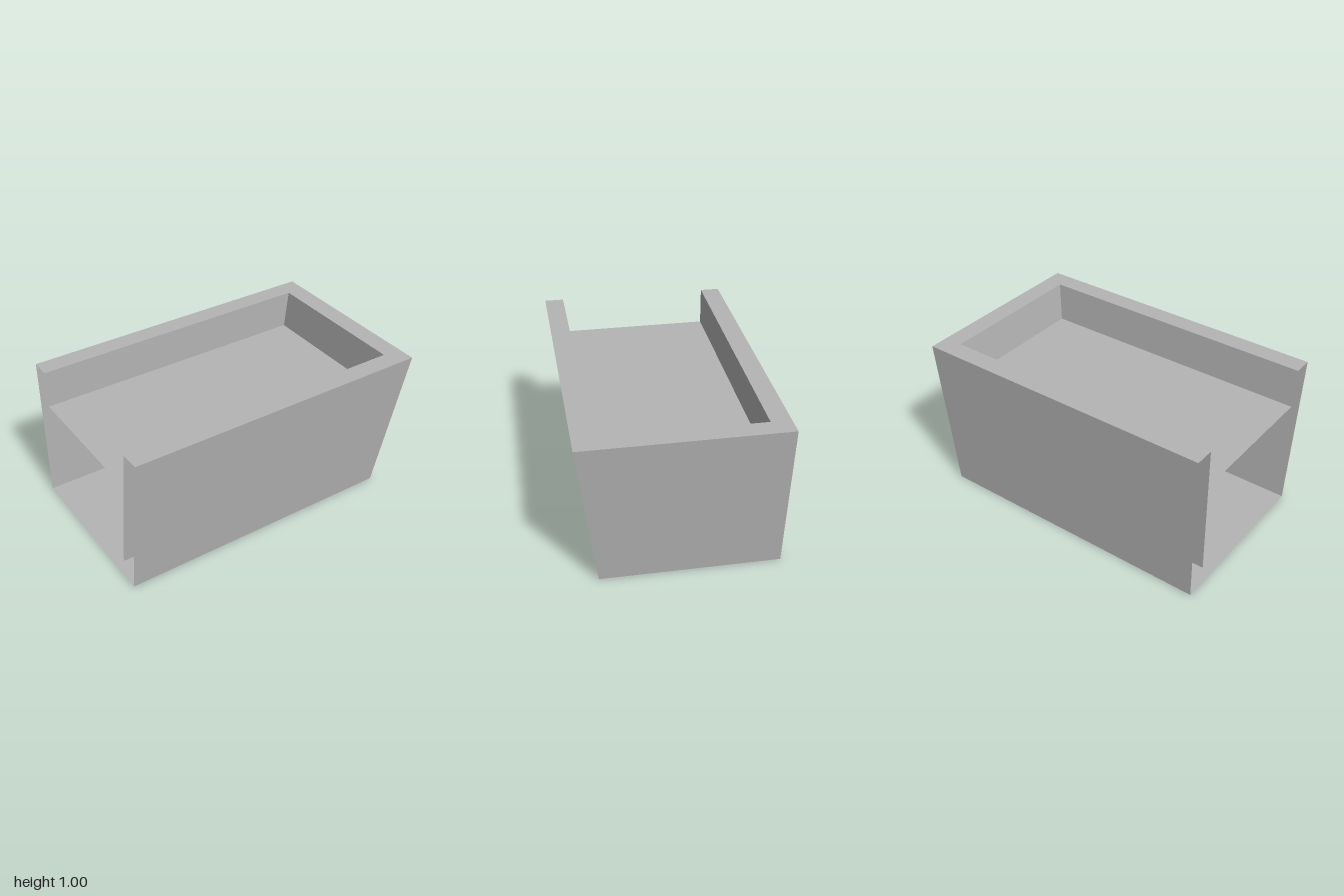
import * as THREE from 'three';

// U-shaped path at height y, open on the -x end
const path = (y, back, end, front) => [[-1, y, back], [end, y, back], [end, y, front], [-1, y, front]];

// Flat-faced band of quads between two paths
function band(lower, upper) {
  const pos = [];
  for (let i = 0; i < lower.length - 1; i++) {
    const a = lower[i], b = lower[i + 1], c = upper[i + 1], d = upper[i];
    pos.push(...b, ...a, ...d, ...b, ...d, ...c);
  }
  const geo = new THREE.BufferGeometry();
  geo.setAttribute('position', new THREE.Float32BufferAttribute(pos, 3));
  geo.computeVertexNormals();
  return geo;
}

// Horizontal rectangle, facing up or down
function sheet(y, back, end, front, up) {
  const geo = new THREE.PlaneGeometry(end + 1, front - back);
  geo.rotateX(up ? -Math.PI / 2 : Math.PI / 2);
  return geo.translate((end - 1) / 2, y, (front + back) / 2);
}

export function createModel() {
  const group = new THREE.Group();
  const grey = new THREE.MeshStandardMaterial({ color: 0xb4b4b4, side: THREE.DoubleSide });
  grey.name = 'grey';
  const add = (name, geo) => {
    const mesh = new THREE.Mesh(geo, grey);
    mesh.name = name;
    group.add(mesh);
  };

  // Hollow shell: front and +x walls lean outwards, back is upright
  const outerBottom = path(0, -0.625, 0.875, 0.5);
  const outerTop = path(1, -0.625, 1, 0.625);
  const innerTop = path(1, -0.5, 0.875, 0.5);
  const innerBottom = path(0.125, -0.5, 0.766, 0.391);
  add('outerWalls', band(outerBottom, outerTop));
  add('rim', band(outerTop, innerTop));
  add('innerWalls', band(innerTop, innerBottom));

  // Base and the raised surface between the inner walls
  add('base', sheet(0, -0.625, 0.875, 0.5, false));
  add('fillSurface', sheet(0.75, -0.5, 0.844, 0.469, true));
  return group;
}
